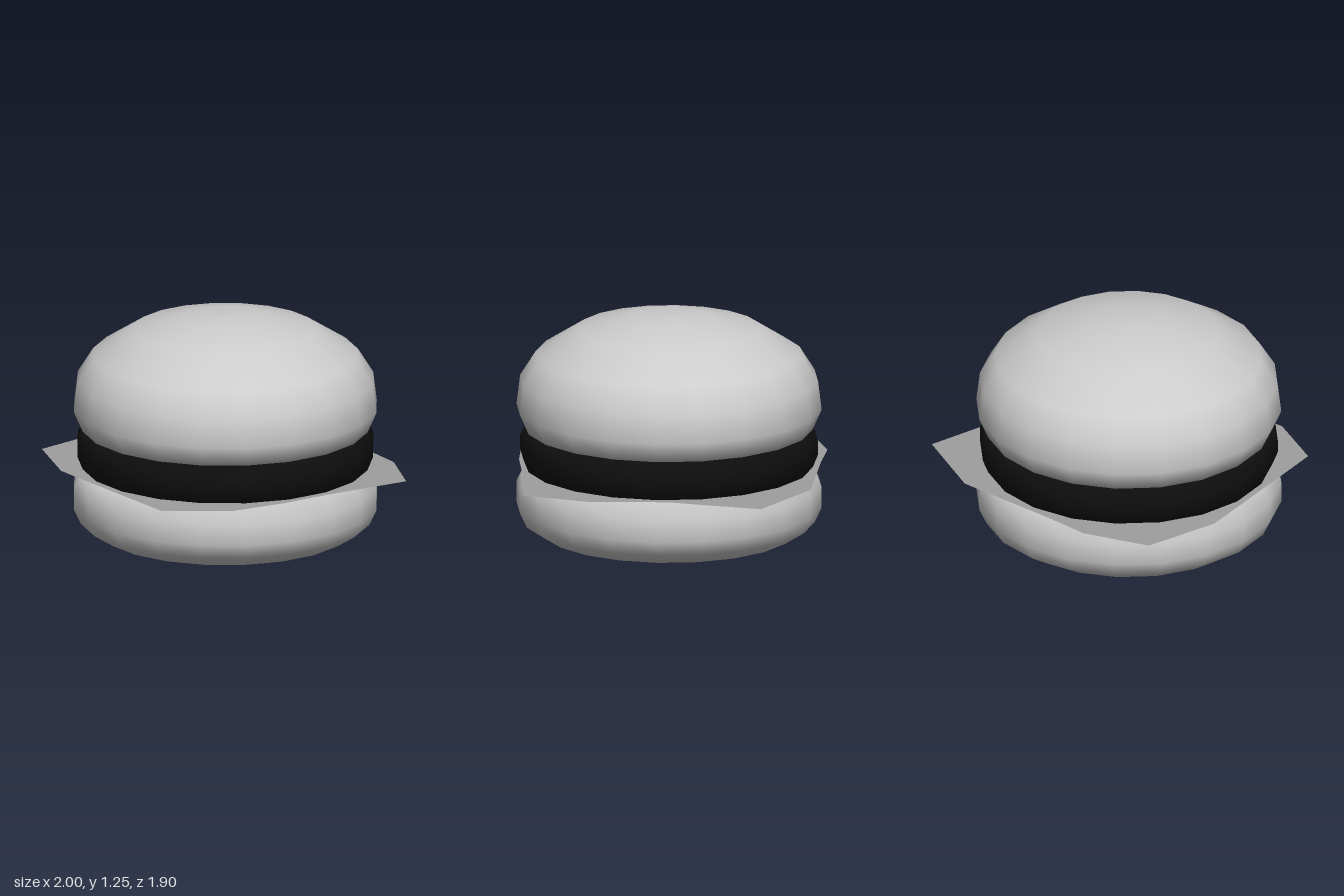
import * as THREE from 'three';

const SIDES = 20;
const CENTER = [-0.085, -0.012];

function material(color) {
  return new THREE.MeshStandardMaterial({ color, side: THREE.DoubleSide });
}

// Turned layer: profile of [radius, height] from the bottom up
function layer(name, profile, color) {
  const points = profile.map(([r, y]) => new THREE.Vector2(r, y));
  const mesh = new THREE.Mesh(new THREE.LatheGeometry(points, SIDES), material(color));
  mesh.name = name;
  mesh.position.set(CENTER[0], 0, CENTER[1]);
  return mesh;
}

export function createModel() {
  const group = new THREE.Group();
  group.name = 'burger';

  // Bottom bun
  group.add(layer('bottomBun', [
    [0, 0], [0.71, 0], [0.82, 0.07], [0.86, 0.155], [0.86, 0.275], [0.81, 0.382], [0, 0.382],
  ], 0xcccccc));

  // Patty
  group.add(layer('patty', [
    [0, 0.39], [0.81, 0.39], [0.84, 0.465], [0.84, 0.54], [0.81, 0.608], [0, 0.608],
  ], 0x0e0e0e));

  // Top bun
  group.add(layer('topBun', [
    [0, 0.61], [0.81, 0.61], [0.86, 0.725], [0.84, 0.89], [0.752, 1.03],
    [0.515, 1.18], [0.225, 1.247], [0, 1.255],
  ], 0xcccccc));

  // Ragged flat leaf, outline as [x, z]
  const outline = [
    [-0.61, -0.95], [-0.21, -0.955], [0.04, -0.86], [0.34, -0.76], [0.64, -0.66],
    [1, -0.29], [0.84, 0], [0.74, 0.17], [0.68, 0.36], [0.62, 0.62], [0.4, 0.945],
    [-0.08, 0.835], [-0.4, 0.78], [-0.72, 0.69], [-1, 0.41], [-0.95, 0.1],
    [-0.88, -0.33], [-0.84, -0.56],
  ];
  const shape = new THREE.Shape(outline.map(([x, z]) => new THREE.Vector2(x, -z)));
  const leaf = new THREE.Mesh(new THREE.ShapeGeometry(shape).rotateX(-Math.PI / 2), material(0x9e9e9e));
  leaf.name = 'lettuce';
  leaf.position.y = 0.386;
  group.add(leaf);

  return group;
}
